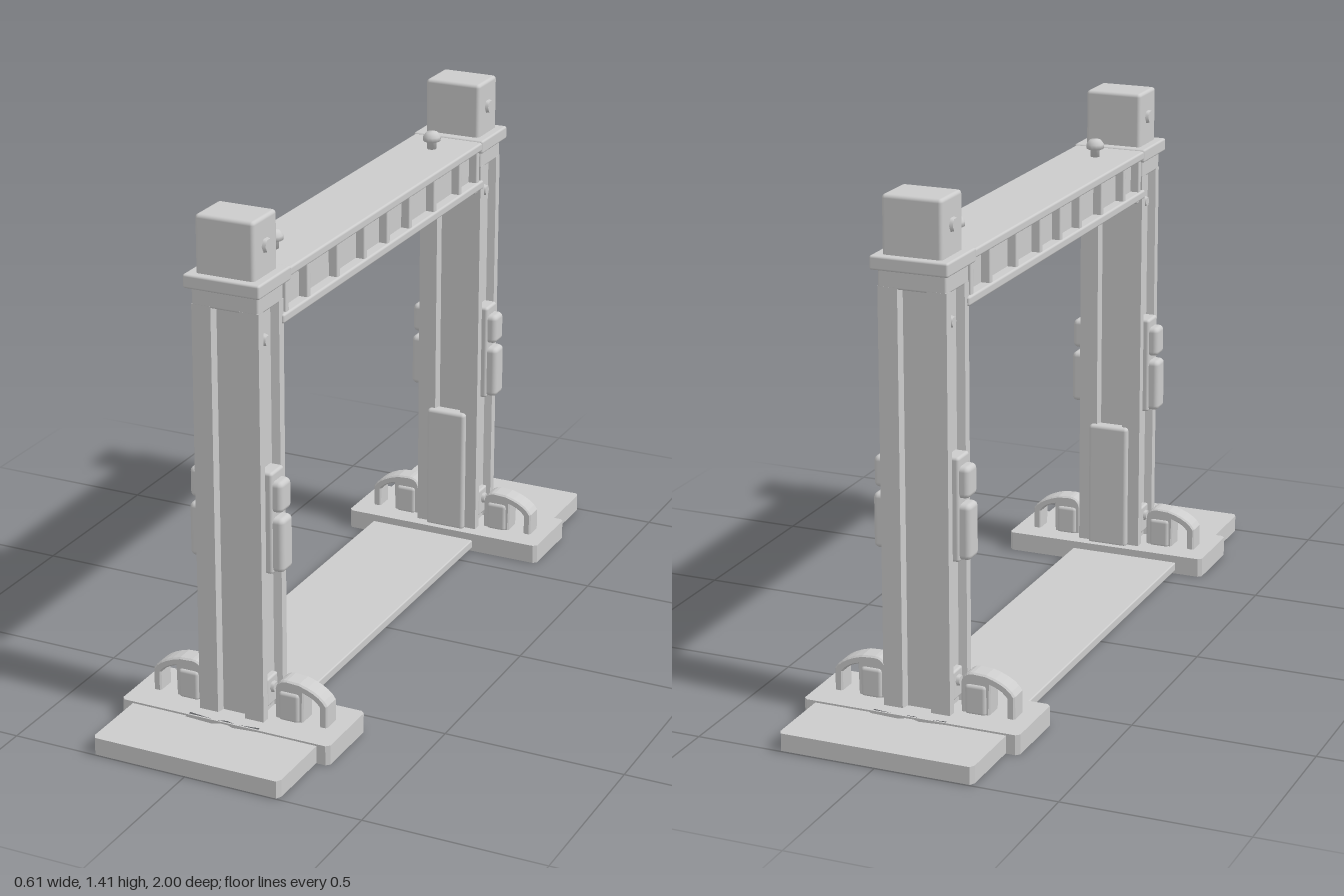
import * as THREE from 'three';
import { RoundedBoxGeometry } from 'three/addons/geometries/RoundedBoxGeometry.js';

const grey = new THREE.MeshStandardMaterial({ color: 0xcccccc });

function add(parent, name, geometry, x = 0, y = 0, z = 0) {
  const mesh = new THREE.Mesh(geometry, grey);
  mesh.name = name;
  mesh.position.set(x, y, z);
  parent.add(mesh);
  return mesh;
}

// Softened box given by its limits on each axis
function block(parent, name, [x0, x1], [y0, y1], [z0, z1], r = 0.006) {
  const g = new RoundedBoxGeometry(x1 - x0, y1 - y0, z1 - z0, 2, r);
  return add(parent, name, g, (x0 + x1) / 2, (y0 + y1) / 2, (z0 + z1) / 2);
}

const outline = (pts) => pts.map(([x, y]) => new THREE.Vector2(x, y));

// Plan outline (x, z) raised along y
function rise(points, height, holes = []) {
  const flip = (pts) => outline(pts.map(([x, z]) => [x, -z]));
  const shape = new THREE.Shape(flip(points));
  for (const h of holes) shape.holes.push(new THREE.Path(flip(h)));
  const g = new THREE.ExtrudeGeometry(shape, { depth: height, bevelEnabled: false });
  return g.rotateX(-Math.PI / 2);
}

// Hexagonal bolt head facing sideways
function bolt(parent, side, x, y, z, r = 0.022) {
  const b = add(parent, 'bolt', new THREE.CylinderGeometry(r * 0.8, r, 0.014, 6), side * x, y, z);
  b.rotation.z = -side * Math.PI / 2;
}

// Curved lifting lug: a thick inner block with a thin bar sweeping outward
function lugGeometry() {
  const s = new THREE.Shape();
  s.moveTo(0.11, 0.05);
  s.lineTo(0.11, 0.135);
  s.quadraticCurveTo(0.115, 0.162, 0.14, 0.162);
  s.lineTo(0.175, 0.16);
  s.quadraticCurveTo(0.235, 0.145, 0.252, 0.115);
  s.lineTo(0.252, 0.05);
  s.lineTo(0.238, 0.05);
  s.lineTo(0.238, 0.11);
  s.quadraticCurveTo(0.22, 0.135, 0.185, 0.142);
  s.lineTo(0.182, 0.05);
  const g = new THREE.ExtrudeGeometry(s, {
    depth: 0.048, bevelSize: 0.004, bevelThickness: 0.005, bevelSegments: 1, curveSegments: 5,
  });
  return g.translate(0, 0, 0.65);
}

function buildEnd() {
  const end = new THREE.Group();
  end.name = 'gantryEnd';

  // Foot plate with a narrow bow-tie drain slot
  const slot = [[-0.11, 0.768], [-0.03, 0.778], [0, 0.77], [0.03, 0.778], [0.1, 0.768],
    [0.1, 0.79], [0.03, 0.798], [0, 0.785], [-0.03, 0.8], [-0.11, 0.795]];
  const plan = [[-0.27, 0.6], [0.27, 0.6], [0.27, 0.985], [0.262, 1], [-0.262, 1], [-0.27, 0.985]];
  add(end, 'footPlate', rise(plan, 0.048, [slot]), 0, 0.002, 0);
  const cross = [[-0.305, 0.585], [-0.295, 0.575], [0.295, 0.575], [0.305, 0.585],
    [0.305, 0.78], [0.295, 0.79], [-0.295, 0.79], [-0.305, 0.78]];
  add(end, 'crossPlate', rise(cross, 0.055, [slot.map(([x, z]) => [x, Math.min(z, 0.785)])]));

  // Column with a channel down each face
  const w = 0.094, a = 0.61, b = 0.745, d = 0.022;
  const section = [
    [-w, a], [-0.04, a], [-0.035, a + d], [0.035, a + d], [0.04, a], [w, a],
    [w, a + 0.025], [w - d, a + 0.03], [w - d, b - 0.03], [w, b - 0.025], [w, b],
    [0.04, b], [0.035, b - d], [-0.035, b - d], [-0.04, b], [-w, b],
    [-w, b - 0.025], [-w + d, b - 0.03], [-w + d, a + 0.03], [-w, a + 0.025],
  ];
  add(end, 'column', rise(section, 1.13), 0, 0.05, 0);
  block(end, 'columnHead', [-w, w], [1.175, 1.24], [a, b]);
  block(end, 'headFlange', [-0.107, 0.107], [1.225, 1.262], [0.59, 0.765]);
  block(end, 'cap', [-0.082, 0.082], [1.25, 1.415], [0.617, 0.743], 0.01);
  block(end, 'innerBrace', [-0.06, 0.06], [0.05, 0.42], [0.594, 0.635], 0.01);
  block(end, 'beamBracket', [-0.085, 0.085], [1.1, 1.15], [0.594, 0.63]);

  const lug = lugGeometry();
  for (const side of [-1, 1]) {
    const half = new THREE.Group();
    half.name = side > 0 ? 'leftFittings' : 'rightFittings';
    end.add(half);
    const span = (p, q) => (side > 0 ? [p, q] : [-q, -p]);

    // Paired clamps at mid height, with a lower lip on each
    block(half, 'lowerClamp', span(0.06, 0.136), [0.47, 0.62], [0.647, 0.707], 0.014);
    block(half, 'upperClamp', span(0.06, 0.133), [0.635, 0.72], [0.647, 0.707], 0.014);
    block(half, 'clampBacking', span(0.06, 0.108), [0.465, 0.745], [0.642, 0.712], 0.008);

    // Access plates and bolts
    block(half, 'lowerPlate', span(0.06, 0.088), [0.08, 0.16], [0.65, 0.708]);
    bolt(half, side, 0.09, 0.13, 0.68, 0.017);
    bolt(half, side, 0.078, 1.09, 0.68, 0.017);
    bolt(half, side, 0.084, 1.34, 0.68);

    // Mirrored by turning about the lug's mid depth
    const l = add(half, 'liftingLug', lug, 0, 0, side > 0 ? 0 : 1.348);
    if (side < 0) l.rotation.y = Math.PI;
    block(half, 'lugShoulder', span(0.118, 0.178), [0.05, 0.135], [0.638, 0.71], 0.01);
  }

  // Domed knob on the beam
  const knob = [[0, 0], [0.013, 0], [0.013, 0.018], [0.025, 0.024], [0.025, 0.036], [0.016, 0.048], [0, 0.052]];
  add(end, 'knob', new THREE.LatheGeometry(outline(knob), 12), 0, 1.258, 0.48);
  return end;
}

export function createModel() {
  const model = new THREE.Group();
  model.name = 'gantryFrame';

  // Identical ends facing away from each other
  const front = buildEnd();
  const back = buildEnd();
  back.rotation.y = Math.PI;
  model.add(front, back);

  // Floor strip, offset to one side
  block(model, 'floorStrip', [-0.225, 0.1], [0.008, 0.034], [-0.6, 0.6], 0.004);

  // Overhead beam: flanges, web and stiffening ribs
  const beam = new THREE.Group();
  beam.name = 'beam';
  model.add(beam);
  block(beam, 'topFlange', [-0.105, 0.105], [1.233, 1.258], [-0.62, 0.62]);
  block(beam, 'bottomFlange', [-0.1, 0.1], [1.115, 1.14], [-0.62, 0.62]);
  block(beam, 'web', [-0.07, 0.07], [1.13, 1.24], [-0.62, 0.62]);
  for (const z of [0.14, 0.3, 0.47, 0.59]) {
    for (const s of [-1, 1]) block(beam, 'rib', [-0.095, 0.095], [1.13, 1.24], [s * z - 0.009, s * z + 0.009], 0.004);
  }
  block(beam, 'rib', [-0.095, 0.095], [1.13, 1.24], [-0.009, 0.009], 0.004);
  return model;
}
